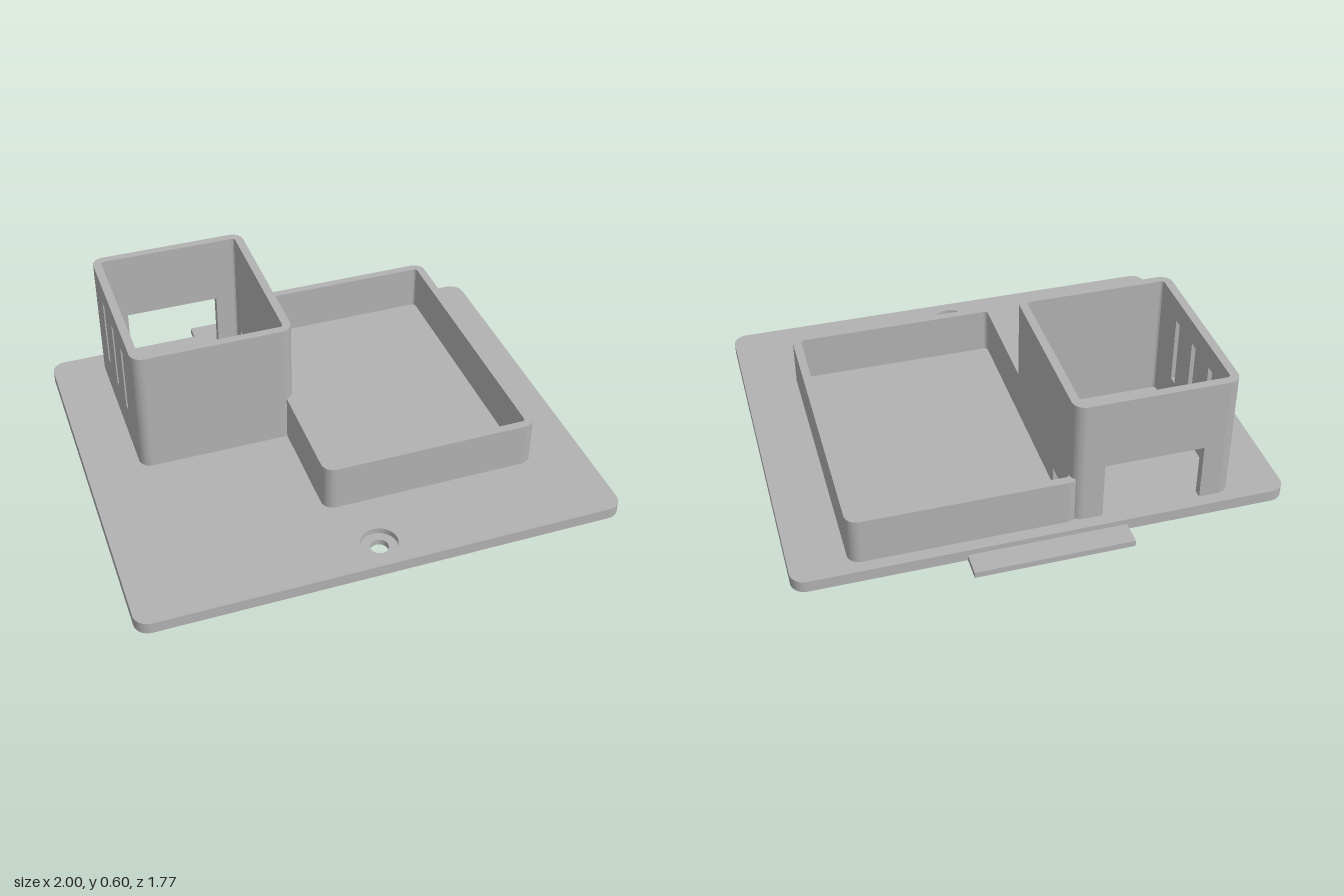
import * as THREE from 'three';
import { toCreasedNormals } from 'three/addons/utils/BufferGeometryUtils.js';

const WALL = 0.035, R = 0.05, BASE = 0.05;

export function createModel() {
  const model = new THREE.Group();
  model.name = 'enclosureBase';
  const grey = new THREE.MeshStandardMaterial({ color: 0xb2b2b2 });
  grey.name = 'grey plastic';

  const add = (parent, name, geometry) => {
    const mesh = new THREE.Mesh(toCreasedNormals(geometry, 0.6), grey);
    mesh.name = name;
    parent.add(mesh);
  };
  const extrude = (shape, depth) =>
    new THREE.ExtrudeGeometry(shape, { depth, bevelEnabled: false, curveSegments: 12 });
  // plan outline drawn in (x, -z), raised from y0 to y1
  const raise = (shape, y0, y1) => extrude(shape, y1 - y0).rotateX(-Math.PI / 2).translate(0, y0, 0);
  const rect = (Type, u0, v0, u1, v1) => new Type([
    new THREE.Vector2(u0, v0), new THREE.Vector2(u1, v0),
    new THREE.Vector2(u1, v1), new THREE.Vector2(u0, v1)]);
  const circle = (Type, x, y, r) => new Type().absarc(x, y, r, 0, Math.PI * 2);

  // upright panel outline with a notch open at the foot and/or window slots
  const panel = (u0, u1, top, { notch, slots = [] } = {}) => {
    const s = new THREE.Shape().moveTo(u0, BASE);
    if (notch) {
      const [a, b, h] = notch;
      s.lineTo(a, BASE).lineTo(a, h).lineTo(b, h).lineTo(b, BASE);
    }
    s.lineTo(u1, BASE).lineTo(u1, top).lineTo(u0, top).closePath();
    slots.forEach(q => s.holes.push(rect(THREE.Path, ...q)));
    return extrude(s, WALL);
  };

  // rounded wall corner, a quarter ring
  const corner = (cx, cz, a, top) => {
    const s = new THREE.Shape();
    s.absarc(cx, -cz, R, a, a + Math.PI / 2, false);
    s.absarc(cx, -cz, R - WALL, a + Math.PI / 2, a, true);
    s.closePath();
    return raise(s, BASE, top);
  };

  // open-topped compartment: four corners and four panels
  const compartment = (name, x0, x1, z0, z1, top, cut = {}) => {
    const g = new THREE.Group();
    g.name = name;
    model.add(g);
    const xa = x0 + R, xb = x1 - R, za = z0 + R, zb = z1 - R;
    [[xb, za], [xa, za], [xa, zb], [xb, zb]].forEach(([x, z], i) =>
      add(g, name + 'Corner', corner(x, z, i * Math.PI / 2, top)));
    const side = (opts, start = za) => panel(start, zb, top, opts).rotateY(-Math.PI / 2);
    add(g, name + 'BackWall', panel(xa, xb, top, cut.back).translate(0, 0, z0));
    add(g, name + 'FrontWall', panel(xa, xb, top).translate(0, 0, z1 - WALL));
    add(g, name + 'OuterSideWall', side(cut.minX, cut.minXStart).translate(x0 + WALL, 0, 0));
    add(g, name + 'InnerSideWall', side(cut.maxX).translate(x1, 0, 0));
  };

  // base plate with rounded corners
  const r = 0.06, x = 1, zBack = 0.79, zFront = -0.88;
  const plate = new THREE.Shape();
  plate.absarc(x - r, zBack - r, r, 0, Math.PI / 2);
  plate.absarc(-x + r, zBack - r, r, Math.PI / 2, Math.PI);
  plate.absarc(-x + r, zFront + r, r, Math.PI, Math.PI * 1.5);
  plate.absarc(x - r, zFront + r, r, Math.PI * 1.5, Math.PI * 2);
  plate.closePath();
  plate.holes.push(circle(THREE.Path, 0, -0.755, 0.075));
  add(model, 'basePlate', raise(plate, 0, BASE));

  // seat of the counterbored screw hole
  const seat = circle(THREE.Shape, 0, -0.755, 0.075);
  seat.holes.push(circle(THREE.Path, 0, -0.755, 0.037));
  add(model, 'screwSeat', raise(seat, 0, 0.025));

  // thin locating tab on the back edge
  add(model, 'backTab', raise(rect(THREE.Shape, -0.323, 0.79, 0.323, 0.89), 0, 0.026));

  // tall compartment: back port, vent slots, cable notch into the low one
  compartment('tallBox', -0.775, -0.107, -0.74, 0.03, 0.6, {
    back: { notch: [-0.645, -0.237, 0.3] },
    minX: { slots: [-0.525, -0.355, -0.185].map(z => [z - 0.019, 0.21, z + 0.019, 0.505]) },
    maxX: { notch: [-0.655, -0.505, 0.13] },
  });

  // low compartment; its side wall only continues past the shared wall
  compartment('lowBox', -0.142, 0.773, -0.74, 0.515, 0.25, { minXStart: -0.02 });

  return model;
}
